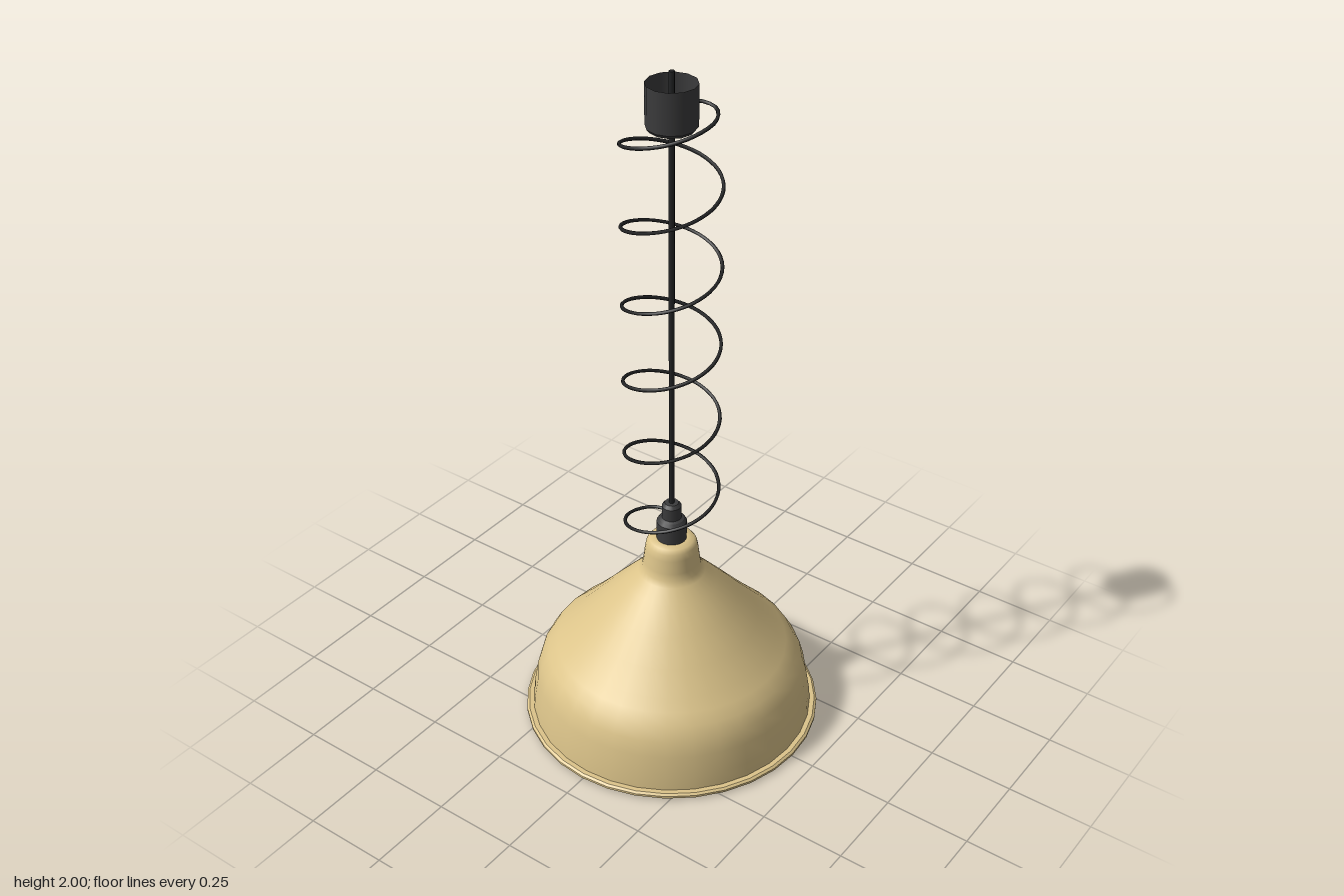
import * as THREE from 'three';

const mat = (name, color, side = THREE.FrontSide) => {
  const m = new THREE.MeshStandardMaterial({ color, side });
  m.name = name;
  return m;
};

export function createModel() {
  const group = new THREE.Group();
  const gold = mat('shadeGold', 0xdcc48a);
  const white = mat('innerWhite', 0xececec);
  const dark = mat('fittingGrey', 0x3c3c3d, THREE.DoubleSide);
  const black = mat('cableBlack', 0x222324);
  const glass = mat('bulbGlass', 0xcfc8c6);

  const add = (name, geometry, material) => {
    const mesh = new THREE.Mesh(geometry, material);
    mesh.name = name;
    group.add(mesh);
    return mesh;
  };
  const vec = (pts) => pts.map(([x, y]) => new THREE.Vector2(x, y));
  // Profiles running upwards face outwards, downwards face inwards
  const lathe = (name, pts, material, sides) =>
    add(name, new THREE.LatheGeometry(vec(pts), sides), material);
  // Each straight piece of the profile gets its own crisp band
  const bands = (name, pts, material, sides) => {
    for (let i = 0; i < pts.length - 1; i++) lathe(name + (i + 1), [pts[i], pts[i + 1]], material, sides);
  };

  // Shade outside and inside
  const shade = [
    [0.412, 0.018], [0.408, 0.06], [0.397, 0.125], [0.384, 0.17], [0.362, 0.208],
    [0.335, 0.235], [0.305, 0.264], [0.25, 0.322], [0.19, 0.388], [0.13, 0.452],
    [0.096, 0.487], [0.085, 0.503], [0.081, 0.525], [0.076, 0.565], [0.072, 0.585],
    [0.063, 0.597], [0.045, 0.6], [0, 0.6],
  ];
  lathe('shadeOuter', shade, gold, 32);
  const inner = shade.map(([r, y]) => [Math.max(r - 0.008, 0), y - 0.008]).reverse();
  lathe('shadeInner', inner, white, 32);
  bands('shadeRim', [
    [0.404, 0.010], [0.406, 0], [0.426, 0], [0.4326, 0.006], [0.4326, 0.013], [0.426, 0.018], [0.412, 0.018],
  ], gold, 32);

  // Bulb with rounded end, and its holder
  const bulb = [];
  for (let i = 0; i <= 10; i++) {
    const a = (i / 10) * Math.PI / 2;
    bulb.push([0.068 * Math.sin(a), 0.2 - 0.068 * Math.cos(a)]);
  }
  bulb.push([0.068, 0.3], [0.058, 0.36], [0.04, 0.4], [0.035, 0.44]);
  lathe('bulb', bulb, glass, 20);
  bands('bulbHolder', [[0, 0.43], [0.042, 0.43], [0.042, 0.59]], dark, 16);

  // Stepped cable grip on top of the shade
  bands('cableGrip', [
    [0.043, 0.595], [0.043, 0.656], [0.036, 0.666], [0.028, 0.67],
    [0.028, 0.708], [0.02, 0.718], [0, 0.718],
  ], dark, 16);

  // Open ceiling cup
  bands('ceilingCup', [[0, 1.847], [0.06, 1.847], [0.068, 1.857], [0.068, 1.97]], dark, 12);

  // Straight cable
  const cable = add('straightCable', new THREE.CylinderGeometry(0.008, 0.008, 1.3, 8), black);
  cable.position.y = 1.35;

  // Coiled cable, ending at the centre line at both ends
  const R = 0.131, turns = 5.5, steps = 12;
  const path = [[0, 1.92, 0], [0.032, 1.919, 0.026], [0.056, 1.915, 0.06], [0.05, 1.91, 0.1]];
  for (let i = 0; i <= turns * steps; i++) {
    const t = (i / steps) * Math.PI * 2;
    path.push([-R * Math.sin(t), 1.9 - 0.23 * i / steps, R * Math.cos(t)]);
  }
  path.push([0.045, 0.635, -0.1], [0.054, 0.636, -0.06], [0.032, 0.638, -0.026], [0, 0.64, 0]);
  const curve = new THREE.CatmullRomCurve3(path.map((p) => new THREE.Vector3(...p)));
  curve.arcLengthDivisions = 800;
  add('coiledCable', new THREE.TubeGeometry(curve, 260, 0.005, 6), black);

  return group;
}
